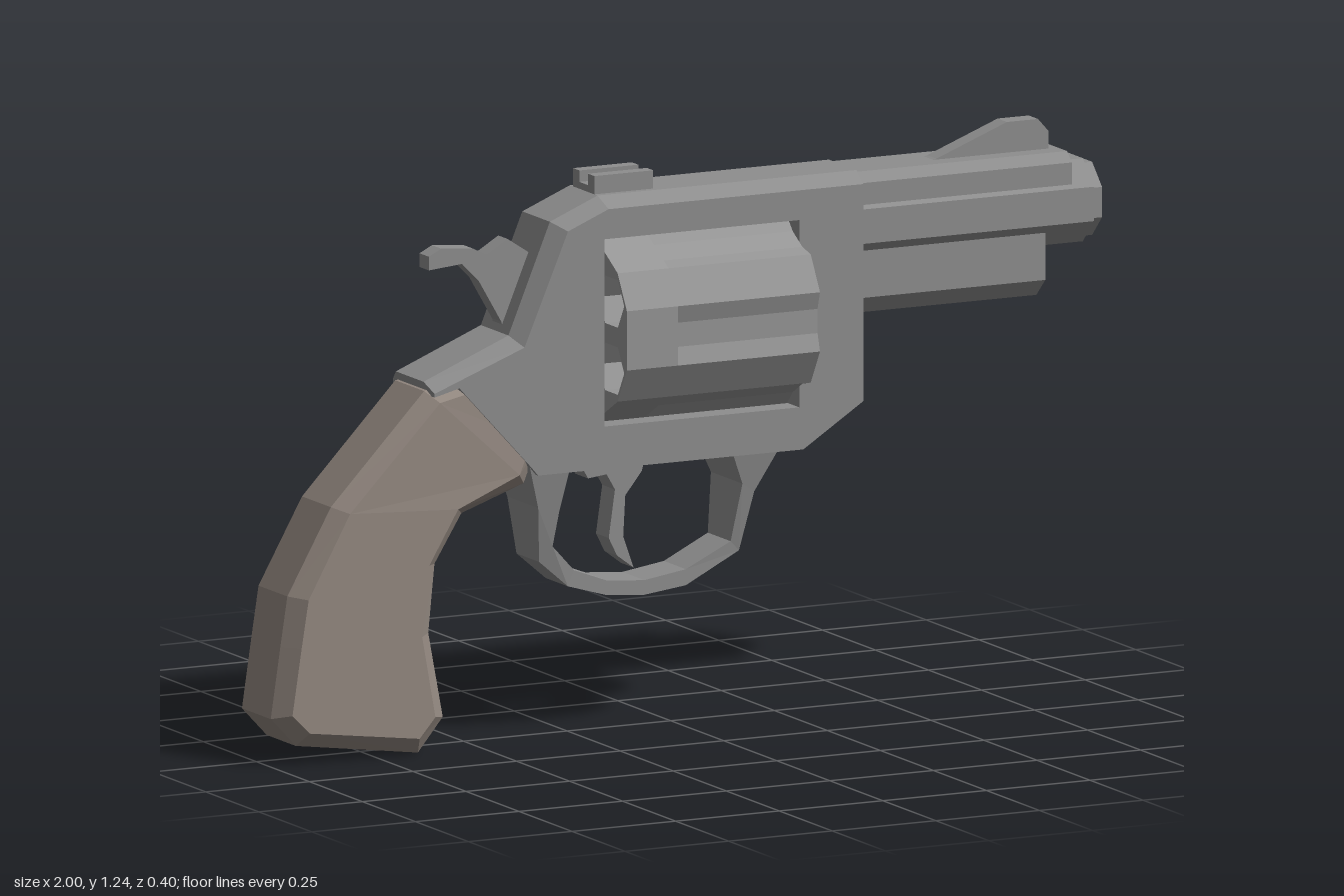
import * as THREE from 'three';

const steel = new THREE.MeshStandardMaterial({ color: 0x8e8e8e, flatShading: true });
const brightSteel = new THREE.MeshStandardMaterial({ color: 0x969696, flatShading: true });
const wood = new THREE.MeshStandardMaterial({ color: 0x948981, flatShading: true });

const toShape = (pts) => new THREE.Shape(pts.map(([x, y]) => new THREE.Vector2(x, y)));

// Plate in the side plane, centred on z = 0
function plate(pts, half) {
  const geo = new THREE.ExtrudeGeometry(toShape(pts), { depth: 2 * half, bevelEnabled: false });
  return geo.translate(0, 0, -half);
}

// Symmetric (z, y) section pushed along x from x0 to x1
function alongX(shape, x0, x1) {
  const geo = new THREE.ExtrudeGeometry(shape, { depth: x1 - x0, bevelEnabled: false });
  return geo.rotateY(Math.PI / 2).translate(x0, 0, 0);
}

// Move every vertex by a rule
function reshape(geo, rule) {
  const p = geo.attributes.position;
  const v = new THREE.Vector3();
  for (let i = 0; i < p.count; i++) {
    rule(v.fromBufferAttribute(p, i));
    p.setXYZ(i, v.x, v.y, v.z);
  }
  geo.computeVertexNormals();
  return geo;
}

function frameGeometry() {
  // Each top and back corner: outline point, then its position on the side faces
  const bevelled = [
    [-0.63, 0.81, -0.62, 0.788], [-0.425, 0.893, -0.403, 0.87],
    [-0.325, 1.133, -0.298, 1.115], [-0.21, 1.18, -0.2, 1.155], [0.415, 1.18, 0.415, 1.155],
  ];
  const shape = toShape([
    ...bevelled, [0.415, 0.68], [0.27, 0.587], [-0.37, 0.587], [-0.39, 0.61], [-0.56, 0.795], [-0.62, 0.78],
  ]);
  // Window for the cylinder, wound against the outline
  shape.holes.push(toShape([[-0.21, 0.68], [0.26, 0.68], [0.26, 1.09], [-0.21, 1.09]]));
  const geo = new THREE.ExtrudeGeometry(shape, { depth: 3, steps: 3, bevelEnabled: false });
  const layers = [-0.098, -0.065, 0.065, 0.098];
  return reshape(geo, (v) => {
    const layer = Math.round(v.z);
    v.z = layers[layer];
    if (layer === 1 || layer === 2) return;
    const corner = bevelled.find(([x, y]) => Math.hypot(x - v.x, y - v.y) < 1e-4);
    if (corner) { v.x = corner[2]; v.y = corner[3]; }
  });
}

// Cylinder section with six chambers, optionally fluted between them
function cylinderShape(fluted) {
  const cy = 0.885;
  const polar = (r, deg) => {
    const a = THREE.MathUtils.degToRad(deg);
    return [r * Math.cos(a), cy + r * Math.sin(a)];
  };
  const outline = [];
  const holes = [];
  for (let a = 0; a < 360; a += 60) {
    if (fluted) outline.push(polar(0.19, a - 8), polar(0.19, a + 8));
    outline.push(polar(0.21, a + 18), polar(0.21, a + 42));
    const [hx, hy] = polar(0.147, a + 30);
    const hole = [];
    for (let k = 0; k < 6; k++) {
      const t = (-k * Math.PI) / 3;
      hole.push([hx + 0.06 * Math.cos(t), hy + 0.06 * Math.sin(t)]);
    }
    holes.push(toShape(hole));
  }
  const shape = toShape(outline);
  shape.holes = holes;
  return shape;
}

// Grip lofted from the frame down: back edge, back of side face, front of side face, front edge
function gripGeometry() {
  const stations = [
    { h: 0.09, pts: [[-0.51, 0.815], [-0.485, 0.79], [-0.38, 0.665], [-0.36, 0.64]] },
    { h: 0.099, pts: [[-0.63, 0.79], [-0.607, 0.767], [-0.415, 0.592], [-0.39, 0.567]] },
    { h: 0.106, pts: [[-0.855, 0.556], [-0.828, 0.545], [-0.567, 0.532], [-0.54, 0.515]] },
    { h: 0.106, pts: [[-0.96, 0.37], [-0.928, 0.365], [-0.637, 0.415], [-0.605, 0.41]] },
    { h: 0.106, pts: [[-0.977, 0.26], [-0.945, 0.26], [-0.654, 0.26], [-0.62, 0.26]] },
    { h: 0.106, pts: [[-1, 0.105], [-0.967, 0.115], [-0.622, 0.082], [-0.585, 0.073]] },
    { h: 0.106, pts: [[-0.94, 0.041], [-0.925, 0.073], [-0.66, 0.038], [-0.645, 0]] },
  ];
  const rings = stations.map(({ h, pts }) => {
    const side = (s) => pts.map(([x, y], i) => [x, y, s * (i % 3 ? h : 0.068)]);
    return [...side(-1), ...side(1).reverse()];
  });
  const verts = [];
  const quad = (a, b, c, d) => verts.push(...a, ...b, ...c, ...a, ...c, ...d);
  for (let k = 0; k + 1 < rings.length; k++) {
    for (let i = 0; i < 8; i++) {
      const j = (i + 1) % 8;
      quad(rings[k][i], rings[k][j], rings[k + 1][j], rings[k + 1][i]);
    }
  }
  // Bottom face with its two side bevels
  const end = rings[rings.length - 1];
  for (const q of [[0, 3, 4, 7], [0, 1, 2, 3], [4, 5, 6, 7]]) quad(...q.map((i) => end[i]));
  const geo = new THREE.BufferGeometry();
  geo.setAttribute('position', new THREE.Float32BufferAttribute(verts, 3));
  geo.computeVertexNormals();
  return geo;
}

export function createModel() {
  const model = new THREE.Group();
  const add = (name, geo, mat = steel, parent = model) => {
    const mesh = new THREE.Mesh(geo, mat);
    mesh.name = name;
    parent.add(mesh);
  };

  add('frame', frameGeometry());
  add('grip', gripGeometry(), wood);

  // Cylinder: plain rear band and fluted front
  const cylinder = new THREE.Group();
  cylinder.name = 'cylinder';
  model.add(cylinder);
  add('cylinderRear', alongX(cylinderShape(false), -0.208, -0.085), brightSteel, cylinder);
  add('cylinderFront', alongX(cylinderShape(true), -0.085, 0.258), brightSteel, cylinder);

  // Octagonal barrel with stepped muzzle and bore
  const oct = 1 / Math.cos(Math.PI / 8);
  const profile = [
    [0, 0.4], [0.091, 0.4], [0.091, 0.975], [0.08, 0.98], [0.08, 1], [0.068, 1], [0.068, 0.6], [0, 0.6],
  ].map(([r, x]) => new THREE.Vector2(r * oct, x));
  const barrel = new THREE.LatheGeometry(profile, 8, Math.PI / 8);
  add('barrel', barrel.rotateZ(-Math.PI / 2).translate(0, 1.06, 0));

  // Rib over the barrel and lug beneath it
  const rib = [[-0.088, 1.107], [0.088, 1.107], [0.088, 1.155], [0.065, 1.176], [-0.065, 1.176], [-0.088, 1.155]];
  add('barrelRib', alongX(toShape(rib), 0.4, 0.923));
  const lug = [[-0.072, 1.02], [-0.072, 0.9], [-0.03, 0.86], [0.03, 0.86], [0.072, 0.9], [0.072, 1.02]];
  add('underLug', alongX(toShape(lug), 0.4, 0.867));

  // Sights
  add('frontSight', plate([
    [0.58, 1.165], [0.63, 1.178], [0.8, 1.243], [0.875, 1.243], [0.9, 1.215], [0.9, 1.165],
  ], 0.022));
  const notch = [
    [-0.05, 1.17], [0.05, 1.17], [0.05, 1.22], [0.02, 1.22], [0.02, 1.195],
    [-0.02, 1.195], [-0.02, 1.22], [-0.05, 1.22],
  ];
  add('rearSight', alongX(toShape(notch), -0.21, -0.068));

  // Hammer with thumb spur
  add('hammer', plate([
    [-0.595, 1.043], [-0.595, 1.073], [-0.565, 1.088], [-0.49, 1.082], [-0.455, 1.065], [-0.405, 1.095],
    [-0.355, 1.062], [-0.3, 1.03], [-0.36, 0.88], [-0.41, 0.88], [-0.42, 0.915], [-0.475, 1.01], [-0.515, 1.05],
  ], 0.022));

  // Trigger guard, narrowing towards the bottom
  const outer = [
    [-0.385, 0.605], [-0.357, 0.51], [-0.345, 0.388], [-0.275, 0.328], [-0.18, 0.3], [-0.09, 0.293],
    [0.01, 0.305], [0.138, 0.37], [0.165, 0.5], [0.225, 0.605],
  ];
  const inner = [
    [0.1, 0.605], [0.135, 0.52], [0.117, 0.392], [0.01, 0.34], [-0.09, 0.325], [-0.18, 0.332],
    [-0.26, 0.362], [-0.315, 0.42], [-0.305, 0.5], [-0.285, 0.605],
  ];
  add('triggerGuard', reshape(plate([...outer, ...inner], 1), (v) => {
    v.z *= THREE.MathUtils.mapLinear(Math.max(v.y, 0.38), 0.38, 0.605, 0.052, 0.088);
  }));

  add('trigger', plate([
    [-0.24, 0.6], [-0.215, 0.555], [-0.17, 0.56], [-0.15, 0.525], [-0.165, 0.42], [-0.145, 0.38],
    [-0.105, 0.35], [-0.13, 0.42], [-0.125, 0.51], [-0.085, 0.56], [-0.075, 0.6],
  ], 0.03));

  return model;
}
